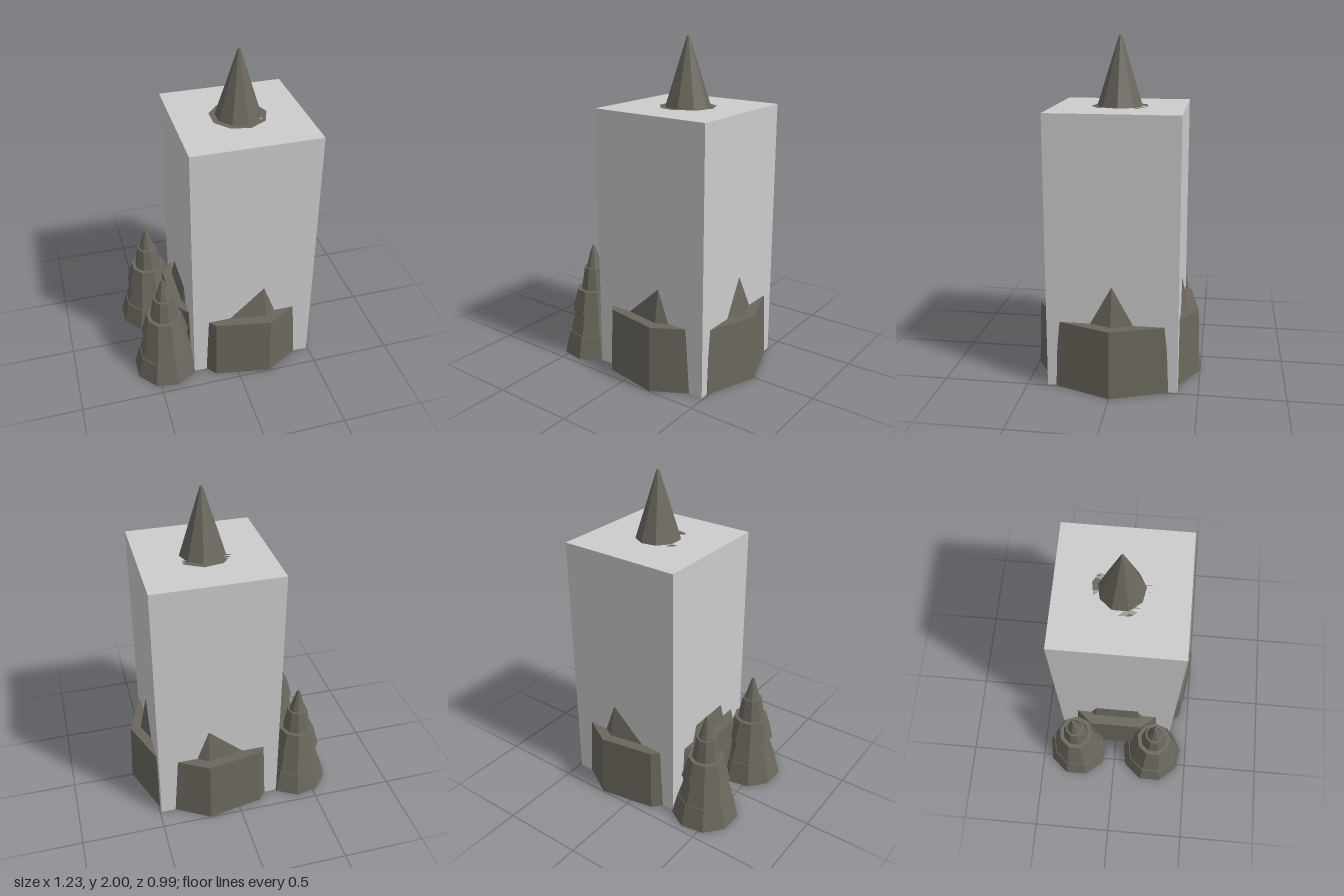
import * as THREE from 'three';

const SIDES = 9;

// Stacked tapering tiers, with one corner pointing to +x
function tieredCone(name, tierHeight, tiers, material) {
  const group = new THREE.Group();
  group.name = name;
  tiers.forEach(([bottom, top], i) => {
    const geometry = new THREE.CylinderGeometry(top, bottom, tierHeight, SIDES, 1, false, Math.PI / 2);
    const tier = new THREE.Mesh(geometry, material);
    tier.name = `${name}Tier${i + 1}`;
    tier.position.y = tierHeight * (i + 0.5);
    group.add(tier);
  });
  return group;
}

export function createModel() {
  const stone = new THREE.MeshStandardMaterial({ color: 0x6b675d, flatShading: true });
  stone.name = 'darkStone';
  const pale = new THREE.MeshStandardMaterial({ color: 0xcccccc, flatShading: true });
  pale.name = 'paleGrey';

  const model = new THREE.Group();
  model.name = 'tower';

  // Square tower block
  const block = new THREE.Mesh(new THREE.BoxGeometry(0.76, 1.6, 0.76), pale);
  block.name = 'towerBlock';
  block.position.set(0.11, 0.8, 0);
  model.add(block);

  // Large tiered spire running through the block
  const spire = tieredCone('mainSpire', 0.4, [
    [0.505, 0.49], [0.425, 0.345], [0.34, 0.27], [0.24, 0.17], [0.135, 0.008],
  ], stone);
  spire.position.x = 0.11;
  model.add(spire);

  // Pair of small spires on the right side
  for (const side of [-1, 1]) {
    const small = tieredCone(side > 0 ? 'frontSmallSpire' : 'backSmallSpire', 0.14, [
      [0.205, 0.17], [0.165, 0.125], [0.147, 0.11], [0.085, 0.062], [0.05, 0.009],
    ], stone);
    small.position.set(-0.427, 0, 0.26 * side);
    model.add(small);
  }

  return model;
}
